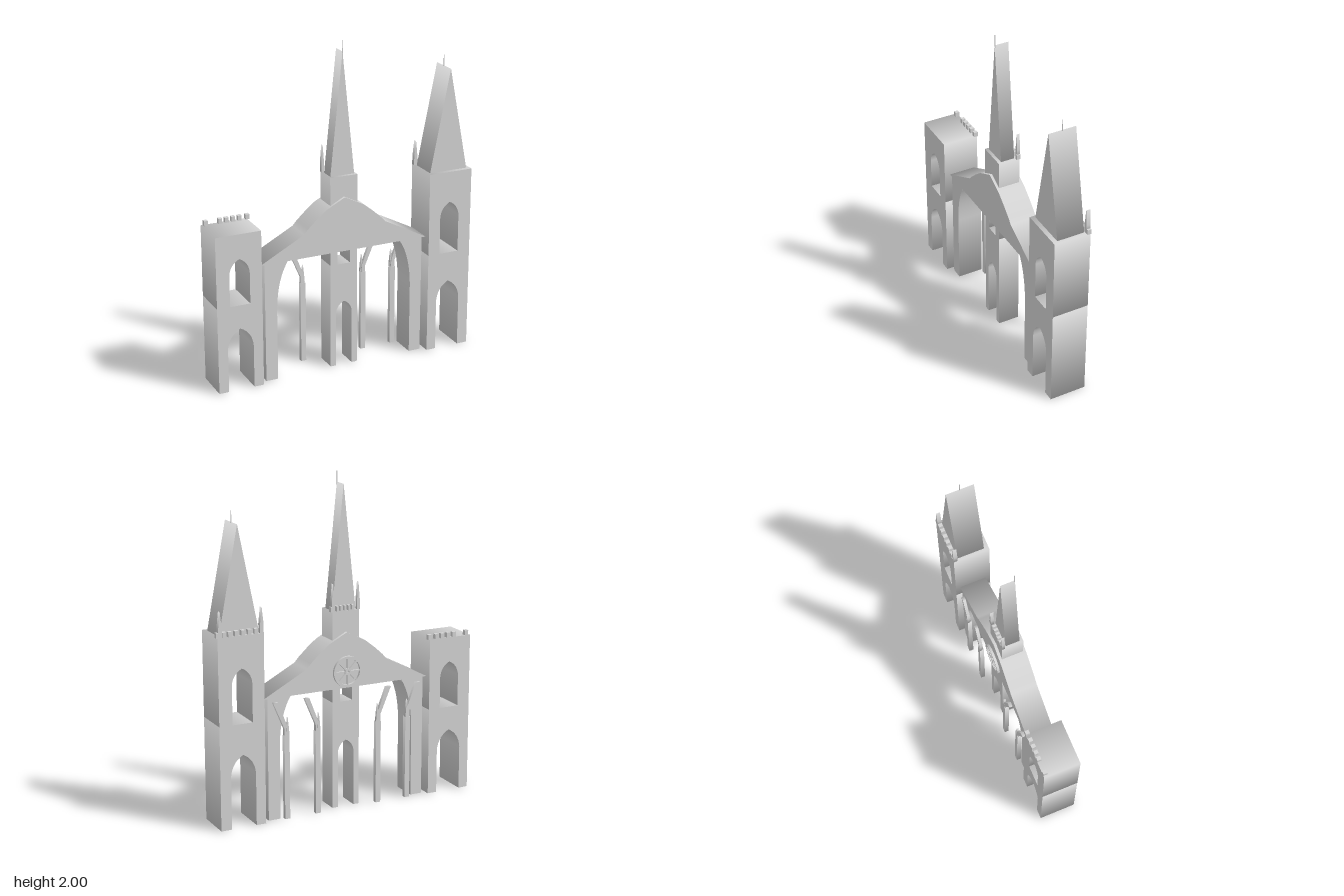
import * as THREE from 'three';

const stone = new THREE.MeshStandardMaterial({ color: 0xd4d4d4 });
stone.name = 'pale stone';
const CX = -0.0075; // axis of the nave

// Extrude a shape with flat faces front and back and smooth shading around the rim
function extrude(name, shape, z0, z1) {
  const geo = new THREE.ExtrudeGeometry(shape, { depth: z1 - z0, bevelEnabled: false, curveSegments: 24 });
  geo.translate(0, 0, z0);
  const pos = geo.attributes.position, nor = geo.attributes.normal;
  const { start, count } = geo.groups[1];
  const key = i => `${pos.getX(i).toFixed(4)},${pos.getY(i).toFixed(4)}`;
  const sums = {};
  for (let i = start; i < start + count; i++) {
    sums[key(i)] ??= new THREE.Vector3();
    sums[key(i)].add(new THREE.Vector3().fromBufferAttribute(nor, i));
  }
  for (const n of Object.values(sums)) n.normalize();
  for (let i = start; i < start + count; i++) nor.setXYZ(i, ...sums[key(i)].toArray());
  const mesh = new THREE.Mesh(geo, stone);
  mesh.name = name;
  return mesh;
}

function slab(name, points, z0, z1) {
  return extrude(name, new THREE.Shape(points.map(([x, y]) => new THREE.Vector2(x, y))), z0, z1);
}

function box(name, x0, x1, y0, y1, z0, z1) {
  const mesh = new THREE.Mesh(new THREE.BoxGeometry(x1 - x0, y1 - y0, z1 - z0), stone);
  mesh.position.set((x0 + x1) / 2, (y0 + y1) / 2, (z0 + z1) / 2);
  mesh.name = name;
  return mesh;
}

// Points of a pointed arch from the left springing over to the right one
function archPoints(x0, x1, spring, top) {
  const mid = (x0 + x1) / 2, w = (x1 - x0) / 2, h = top - spring;
  const half = new THREE.QuadraticBezierCurve(
    new THREE.Vector2(w, 0), new THREE.Vector2(w * 0.9, h * 0.7), new THREE.Vector2(0, h)).getPoints(8);
  return [
    ...half.map(p => [mid - p.x, spring + p.y]),
    ...half.slice(0, -1).reverse().map(p => [mid + p.x, spring + p.y]),
  ];
}

// Storey with a pointed opening rising from its floor
function storey(name, x0, x1, y0, y1, z0, z1, [ax0, ax1, spring, top]) {
  return slab(name, [[x0, y0], [ax0, y0], ...archPoints(ax0, ax1, spring, top),
    [ax1, y0], [x1, y0], [x1, y1], [x0, y1]], z0, z1);
}

// Two stacked storeys: door below, window above
function tower(name, x0, x1, floor, top, z0, z1, door, win) {
  const group = new THREE.Group();
  group.name = name;
  group.add(storey('doorStorey', x0, x1, 0, floor, z0, z1, door),
    storey('windowStorey', x0, x1, floor, top, z0, z1, win));
  return group;
}

function merlons(name, xs, w, y, z0, z1) {
  const group = new THREE.Group();
  group.name = name;
  xs.forEach(x => group.add(box('merlon', x - w / 2, x + w / 2, y, y + 0.03, z0, z1)));
  return group;
}

// Small post with a sharp point
function pinnacle(x, y, w, h, z0, z1) {
  return slab('pinnacle', [[x - w / 2, y], [x + w / 2, y], [x + w / 2, y + h * 0.35],
    [x, y + h], [x - w / 2, y + h * 0.35]], z0, z1);
}

function needle(x, y0, y1, z) {
  const mesh = new THREE.Mesh(new THREE.CylinderGeometry(0.002, 0.003, y1 - y0, 6), stone);
  mesh.position.set(x, (y0 + y1) / 2, z);
  mesh.name = 'needle';
  return mesh;
}

// Wheel window on the back of the gable
function roseWindow() {
  const group = new THREE.Group();
  group.name = 'roseWindow';
  for (const [r0, r1] of [[0.078, 0.093], [0.008, 0.02]]) {
    const shape = new THREE.Shape().absarc(0, 0, r1, 0, Math.PI * 2);
    shape.holes.push(new THREE.Path().absarc(0, 0, r0, 0, Math.PI * 2));
    group.add(extrude('ring', shape, 0, 0.016));
  }
  for (let i = 0; i < 8; i++) {
    const a = i * Math.PI / 4;
    const spoke = new THREE.Mesh(new THREE.BoxGeometry(0.065, 0.007, 0.012), stone);
    spoke.position.set(Math.cos(a) * 0.049, Math.sin(a) * 0.049, 0.009);
    spoke.rotation.z = a;
    spoke.name = 'spoke';
    group.add(spoke);
  }
  group.position.set(CX, 0.84, -0.1);
  return group;
}

// Column, leaning strut and pinnacle; side is -1 or 1
function buttress(side, d) {
  const group = new THREE.Group();
  group.name = 'flyingButtress';
  const pts = list => list.map(([x, y]) => [CX + side * (d + x), y]);
  group.add(
    slab('column', pts([[0, 0], [0.032, 0], [0.032, 0.51], [0, 0.51]]), -0.105, -0.078),
    slab('strut', pts([[0.003, 0.5], [0.03, 0.5], [0.03, 0.55], [0.1, 0.715],
      [0.07, 0.715], [0.01, 0.56]]), -0.102, -0.082),
    slab('pinnacle', pts([[0, 0.51], [0.02, 0.51], [0.016, 0.56], [0.011, 0.62], [0.004, 0.56]]),
      -0.105, -0.09),
  );
  return group;
}

export function createModel() {
  const model = new THREE.Group();
  model.name = 'gothicFacade';

  // Short battlemented tower
  model.add(
    tower('shortTower', -0.83, -0.55, 0.535, 0.97, -0.113, 0.113,
      [-0.77, -0.61, 0.27, 0.39], [-0.75, -0.625, 0.73, 0.82]),
    merlons('shortTowerBattlements', [-0.805, -0.718, -0.678, -0.638, -0.598, -0.55],
      0.023, 0.97, -0.113, -0.088),
  );

  // Tall tower with spire
  model.add(
    tower('tallTower', 0.535, 0.816, 0.625, 1.14, -0.113, 0.113,
      [0.595, 0.75, 0.32, 0.44], [0.61, 0.735, 0.86, 0.95]),
    slab('tallSpire', [[0.55, 1.14], [0.795, 1.14], [0.674, 1.765]], -0.083, 0.085),
    needle(0.674, 1.76, 1.83, 0),
    merlons('tallTowerBattlements', [0.58, 0.62, 0.66, 0.7, 0.74, 0.775, 0.813],
      0.022, 1.14, -0.113, -0.088),
    pinnacle(0.546, 1.14, 0.022, 0.15, -0.113, -0.088),
    pinnacle(0.8, 1.14, 0.022, 0.15, -0.113, -0.088),
  );

  // Central tower with spire
  model.add(
    tower('centralTower', -0.095, 0.08, 0.655, 1.2, -0.068, 0.065,
      [-0.06, 0.045, 0.34, 0.415], [-0.05, 0.032, 0.78, 0.84]),
    slab('centralSpire', [[-0.085, 1.2], [0.068, 1.2], [CX, 1.935]], -0.04, 0.045),
    needle(CX, 1.92, 2, 0.042),
    merlons('centralBattlements', [-0.055, -0.03, -0.005, 0.02, 0.045, 0.084],
      0.014, 1.2, -0.07, -0.045),
    pinnacle(-0.089, 1.2, 0.018, 0.165, -0.07, -0.05),
    pinnacle(0.075, 1.2, 0.018, 0.165, -0.07, -0.05),
  );

  // Gable with swept roof line
  const roof = [[0.538, 0.74], [0.262, 0.885], [0.235, 0.915], [0.18, 0.965], [0.12, 1.013]];
  model.add(slab('gable', [
    ...roof.map(([x, y]) => [CX + x, y]), [CX, 1.075],
    ...roof.map(([x, y]) => [CX - x, y]).reverse()], -0.085, 0.08));
  model.add(roseWindow());

  // Piers curving inwards under the gable, and the buttresses behind
  const curve = new THREE.QuadraticBezierCurve(
    new THREE.Vector2(0.437, 0.45), new THREE.Vector2(0.432, 0.64), new THREE.Vector2(0.362, 0.745));
  const pier = [[0.437, 0], [0.512, 0], [0.512, 0.745],
    ...curve.getPoints(8).reverse().map(p => [p.x, p.y])];
  for (const side of [-1, 1]) {
    model.add(slab('pier', pier.map(([x, y]) => [CX + side * x, y]), -0.083, 0.078));
    for (const d of [0.184, 0.384]) model.add(buttress(side, d));
  }
  return model;
}
